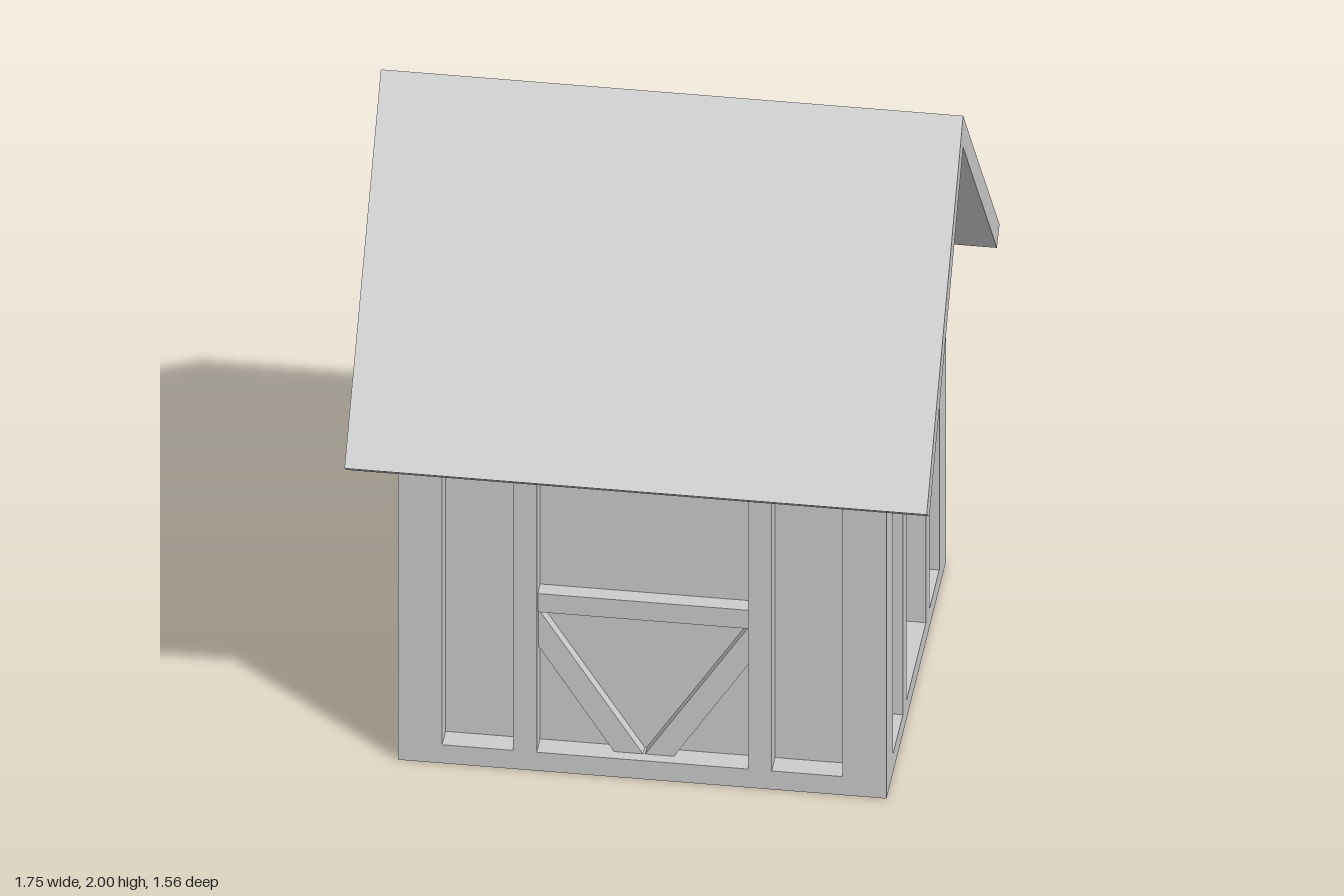
import * as THREE from 'three';

const HX = 0.717, HZ = 0.616;      // half size of the walls
const SILL = 0.065, HEAD = 1.1, EAVE = 1.163, APEX = 1.89;
const DEPTH = 0.07;                // recess behind the timber frame
const mat = new THREE.MeshStandardMaterial({ color: 0xcccccc, side: THREE.DoubleSide });

const vec = (pts) => pts.map(([x, y]) => new THREE.Vector2(x, y));
const rect = (x0, x1, y0, y1) => [[x0, y0], [x1, y0], [x1, y1], [x0, y1]];

function add(parent, name, geometry, z = 0) {
  const mesh = new THREE.Mesh(geometry, mat);
  mesh.name = name;
  mesh.position.z = z;
  parent.add(mesh);
  return mesh;
}

// Inner faces joining the frame's opening to the set-back panel
function revealGeometry(pts) {
  const pos = [];
  pts.forEach((p, i) => {
    const q = pts[(i + 1) % pts.length];
    const a = [...p, 0], b = [...q, 0], c = [...q, -DEPTH], d = [...p, -DEPTH];
    pos.push(...a, ...b, ...c, ...a, ...c, ...d);
  });
  const g = new THREE.BufferGeometry();
  g.setAttribute('position', new THREE.Float32BufferAttribute(pos, 3));
  g.computeVertexNormals();
  return g;
}

// Solid timber lying on the set-back panel
function timber(parent, name, pts, depth) {
  const g = new THREE.ExtrudeGeometry(new THREE.Shape(vec(pts)), { depth, bevelEnabled: false });
  add(parent, name, g, -DEPTH);
}

// Thin framed wall: flat frame with openings, each closed by a recessed panel
function makeWall(name, outline, openings) {
  const wall = new THREE.Group();
  wall.name = name;
  const frame = new THREE.Shape(vec(outline));
  frame.holes = openings.map((o) => new THREE.Path(vec(o)));
  add(wall, 'wallFrame', new THREE.ShapeGeometry(frame));
  for (const o of openings) {
    add(wall, 'recessedPanel', new THREE.ShapeGeometry(new THREE.Shape(vec(o))), -DEPTH);
    add(wall, 'panelReveal', revealGeometry(o));
  }
  return wall;
}

// A wide middle bay with a narrow bay on either side
const bays = (mid, inner, outer) => [
  rect(-mid, mid, SILL, HEAD),
  rect(inner, outer, SILL, HEAD),
  rect(-outer, -inner, SILL, HEAD),
];

// Long wall with a rail and a V of braces below it
function longWall(name) {
  const wall = makeWall(name, rect(-HX, HX, 0, EAVE), bays(0.31, 0.38, 0.588));
  timber(wall, 'rail', rect(-0.31, 0.31, 0.545, 0.61), 0.05);
  const brace = [[0.003, SILL], [0.088, SILL], [0.31, 0.415], [0.31, 0.545]];
  timber(wall, 'brace', brace, 0.035);
  timber(wall, 'brace', brace.map(([x, y]) => [-x, y]).reverse(), 0.035);
  return wall;
}

// Gabled wall with rails at the given heights
function gableWall(name, railHeights) {
  const outline = [[-HZ, 0], [HZ, 0], [HZ, EAVE], [0, APEX], [-HZ, EAVE]];
  const gable = [[-0.55, 1.17], [0.55, 1.17], [0, 1.785]];
  const wall = makeWall(name, outline, [...bays(0.205, 0.275, 0.48), gable]);
  for (const y of railHeights) timber(wall, 'rail', rect(-0.205, 0.205, y, y + 0.065), 0.05);
  return wall;
}

function makeRoof() {
  const length = 1.71;
  const section = [[0, 2], [-0.757, 1.107], [-0.7, 1.063], [0, APEX], [0.7, 1.063], [0.757, 1.107]];
  const g = new THREE.ExtrudeGeometry(new THREE.Shape(vec(section)), { depth: length, bevelEnabled: false });
  g.translate(0, 0, -length / 2);
  g.rotateY(Math.PI / 2);
  const roof = new THREE.Mesh(g, mat);
  roof.name = 'roof';
  return roof;
}

export function createModel() {
  const house = new THREE.Group();
  house.name = 'timberFrameHut';

  const walls = [
    [longWall('frontWall'), 0, HZ],
    [gableWall('leftGableWall', [0.82]), 1, HX],
    [longWall('backWall'), 2, HZ],
    [gableWall('rightGableWall', [0.82, 0.4]), 3, HX],
  ];
  for (const [wall, quarter, distance] of walls) {
    wall.rotation.y = quarter * Math.PI / 2;
    wall.translateZ(distance);
    house.add(wall);
  }
  house.add(makeRoof());

  // The hut stands slightly turned
  house.rotation.y = 0.0263;
  const model = new THREE.Group();
  model.name = 'hut';
  model.add(house);
  return model;
}
